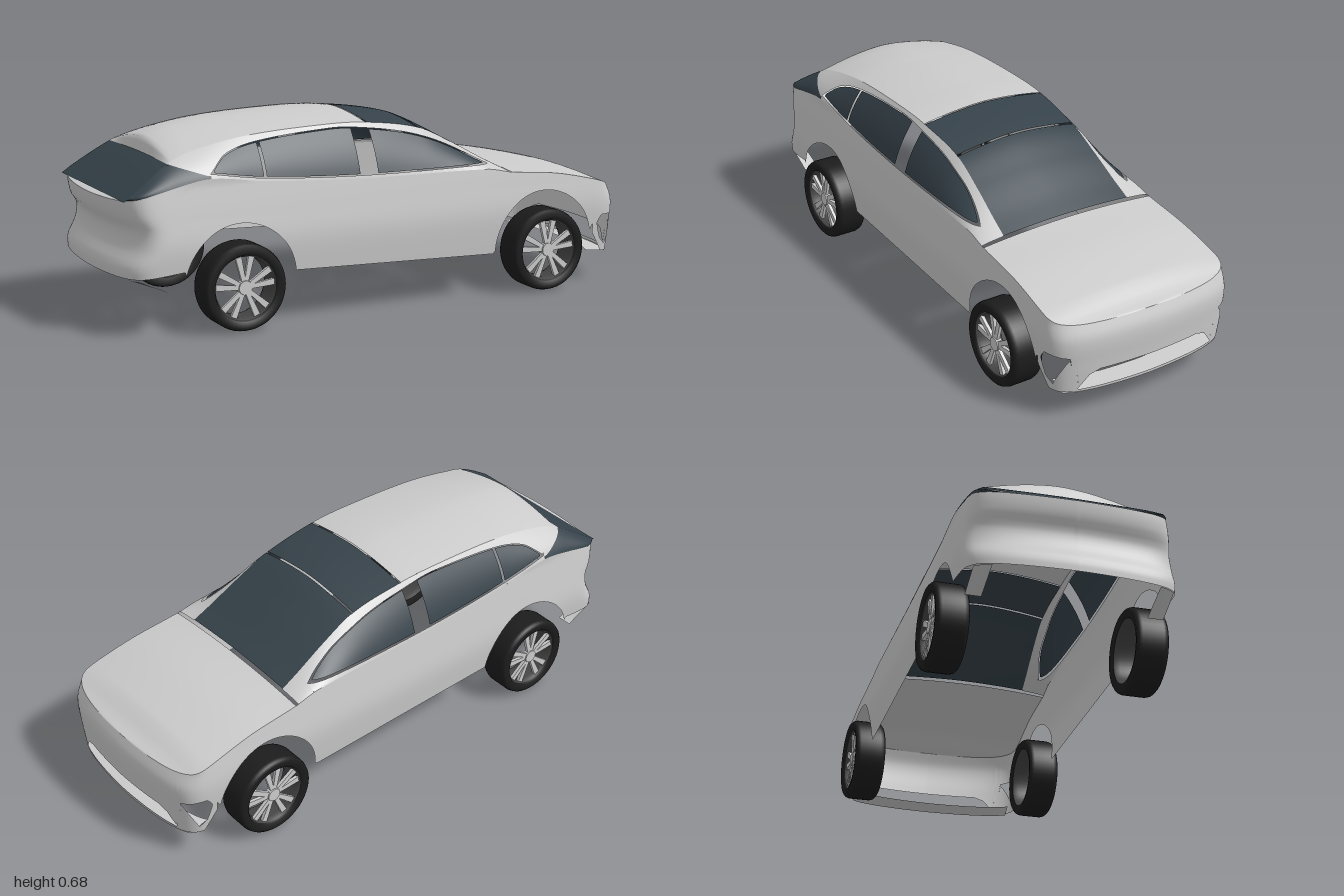
import * as THREE from 'three';

const D = THREE.DoubleSide;
const paint = new THREE.MeshStandardMaterial({ color: 0xcccccc, side: D });
const glassMat = new THREE.MeshStandardMaterial({ color: 0x36424a, side: D });
const rubber = new THREE.MeshStandardMaterial({ color: 0x1c1c1c, side: D });
const dark = new THREE.MeshStandardMaterial({ color: 0x444444, side: D });

// Piecewise curve through [x, value] points: straight, or smooth (Hermite)
function curve(pts, smooth = true) {
  const slope = (i) => {
    const a = pts[Math.max(i - 1, 0)], b = pts[Math.min(i + 1, pts.length - 1)];
    return (b[1] - a[1]) / (b[0] - a[0]);
  };
  return (x) => {
    if (x <= pts[0][0]) return pts[0][1];
    if (x >= pts[pts.length - 1][0]) return pts[pts.length - 1][1];
    let i = 0;
    while (x > pts[i + 1][0]) i++;
    const [x0, y0] = pts[i], [x1, y1] = pts[i + 1], h = x1 - x0, t = (x - x0) / h;
    if (!smooth) return y0 + (y1 - y0) * t;
    const s = t * t * (3 - 2 * t);
    return y0 + (y1 - y0) * s + h * t * (1 - t) * ((1 - t) * slope(i) - t * slope(i + 1));
  };
}
const lerp = THREE.MathUtils.lerp;
const range = (a, b, n) => Array.from({ length: n + 1 }, (_, i) => a + ((b - a) * i) / n);

// Surface over a list of columns and n rows; fn(column, t) gives a point
function grid(cols, n, fn) {
  const pos = [], idx = [];
  cols.forEach((c, i) => {
    for (let j = 0; j <= n; j++) {
      pos.push(...fn(c, j / n));
      if (i && j) {
        const b = i * (n + 1) + j, a = b - n - 1;
        idx.push(a - 1, b - 1, b, a - 1, b, a);
      }
    }
  });
  const g = new THREE.BufferGeometry();
  g.setAttribute('position', new THREE.Float32BufferAttribute(pos, 3));
  g.setIndex(idx);
  g.computeVertexNormals();
  return g;
}

// Plan outline: a rounded rectangle, sampled by z at the ends and by x along the sides
const W = 0.362, P = 36, Q = 1.6, TAIL = 0.99, ARCH = 0.205;
const wheelX = [-0.575, 0.635];
const planZ = (x) => W * Math.pow(Math.max(0, 1 - Math.pow(Math.abs(x) / (x < 0 ? TAIL : 1), P)), 1 / Q);
const planX = (z) => Math.pow(1 - Math.pow(z / W, Q), 1 / P);
const noseCols = range(0.33, 0, 66).map((z) => ({ x: planX(z), z }));
const tailCols = range(0, 0.33, 30).map((z) => ({ x: -planX(z) * TAIL, z }));
const sideX = range(-0.93, 0.94, 187);
wheelX.forEach((c) => range(0, Math.PI, 40).forEach((a) => sideX.push(c + ARCH * Math.cos(a))));
const sideCols = sideX.sort((a, b) => a - b).map((x) => ({ x, z: planZ(x) }));

// Body outline curves
const belt = curve([[-0.99, 0.455], [-0.8, 0.5], [-0.67, 0.52], [-0.47, 0.495], [-0.1, 0.472], [0.4, 0.46],
  [0.5, 0.442], [0.7, 0.42], [0.9, 0.375], [0.97, 0.355], [1, 0.35]]);
const rail = curve([[-0.98, 0.455], [-0.8, 0.57], [-0.7, 0.605], [-0.5, 0.64], [-0.2, 0.655], [-0.04, 0.65],
  [0.17, 0.615], [0.3, 0.555], [0.42, 0.49], [0.49, 0.455]]);
const railZ = curve([[-0.97, 0.3], [-0.9, 0.29], [-0.8, 0.265], [-0.7, 0.25], [-0.04, 0.245], [0.17, 0.24], [0.49, 0.255]]);
const crown = curve([[-0.97, 0], [-0.8, 0.006], [-0.785, 0.045], [-0.7, 0.045], [-0.5, 0.032], [-0.2, 0.026],
  [0.17, 0.026], [0.49, 0.01]], false);
const sill = curve([[-0.99, 0.2], [-0.78, 0.22], [-0.77, 0.19], [-0.37, 0.182], [0.43, 0.15], [0.84, 0.2], [0.9, 0.11], [1, 0.1]], false);
const widthAt = curve([[0.1, 0.955], [0.2, 0.985], [0.3, 1], [0.4, 0.965], [0.5, 0.92]]);
const tailAt = curve([[0.2, 0], [0.24, 0], [0.3, 0.03], [0.36, 0.035], [0.4, 0.012], [0.45, 0]]);
const noseAt = curve([[0.1, -0.012], [0.2, -0.004], [0.3, 0], [0.36, -0.022]]);

function bottom(x) {
  let y = sill(x);
  for (const c of wheelX) {
    const d = ARCH * ARCH - (x - c) ** 2;
    if (d > 0) y = Math.max(y, 0.16 + Math.sqrt(d));
  }
  return y;
}
function skin({ x, z }, y) {
  const r = THREE.MathUtils.smoothstep(-x, 0.75, 0.96), f = THREE.MathUtils.smoothstep(x, 0.85, 0.98);
  return [x + tailAt(y) * r + noseAt(y) * f, y, z * widthAt(y)];
}

// Bumper openings: wide lower grille and a corner intake
const intakeLow = curve([[0.872, 0.22], [0.885, 0.165], [0.92, 0.135], [0.945, 0.19], [0.963, 0.24]], false);
const intakeHigh = curve([[0.872, 0.22], [0.885, 0.25], [0.92, 0.25], [0.945, 0.245], [0.963, 0.24]], false);
const grilleHigh = curve([[0, 0.18], [0.2, 0.18], [0.24, 0.165], [0.285, 0.112]], false);
function hole({ x, z }) {
  if (z < 0.285) return [0.112, grilleHigh(z)];
  if (x < 0.963) return [intakeLow(x), intakeHigh(x)];
  return [0.2, 0.2];
}

// Cabin side between the belt line and the roof rail
function cabin(x, y, inset = 0) {
  const b = belt(x), s = THREE.MathUtils.clamp((y - b) / Math.max(rail(x) - b, 1e-4), 0, 1);
  const zb = skin({ x, z: planZ(x) }, b)[2];
  return [x, y, lerp(zb, railZ(x), s) + 0.012 * s * (1 - s) * 4 - inset];
}
const winLow = curve([[-0.67, 0.535], [-0.47, 0.505], [-0.1, 0.482], [0.42, 0.475]]);
const winHigh = curve([[-0.67, 0.535], [-0.6, 0.59], [-0.47, 0.622], [-0.2, 0.642], [-0.1, 0.639], [0.1, 0.608], [0.25, 0.56], [0.42, 0.475]]);
const quarterTop = (x) => Math.min(rail(x), lerp(0.57, 0.53, THREE.MathUtils.clamp((x + 0.8) / 0.12, 0, 1)));
const wall = (xs, lo, hi, inset) => grid(xs, 8, (x, t) => cabin(x, lerp(lo(x), hi(x), t), inset));

// Crowned panel spanning from rail to rail
const span = (xs) => grid(xs, 32, (x, t) => {
  const s = 1 - 2 * t;
  return [x, rail(x) + crown(x) * (1 - Math.abs(s) ** 1.7), railZ(x) * s];
});
// Crowned panel spanning the top edge of the lower body
const deck = (cols, rise) => grid(cols, 32, (c, t) => {
  const [x, y, z] = skin(c, belt(c.x)), s = 1 - 2 * t;
  return [x, y + rise * Math.min(1, (1 - Math.abs(x)) * 8) * (1 - s * s), z * s];
});

function makeWheel() {
  const wheel = new THREE.Group();
  const add = (name, geo, mat) => {
    const m = new THREE.Mesh(geo, mat);
    m.name = name;
    wheel.add(m);
    return m;
  };
  const ring = (pts) => new THREE.LatheGeometry(pts.map(([r, y]) => new THREE.Vector2(r, y)), 48).rotateX(Math.PI / 2);
  add('tyre', ring([[0.112, -0.05], [0.138, -0.057], [0.146, -0.05], [0.15, -0.038], [0.15, 0.038], [0.146, 0.05],
    [0.138, 0.057], [0.116, 0.054], [0.112, 0.046]]), rubber);
  add('rimBarrel', ring([[0.112, -0.05], [0.104, -0.03], [0.104, 0.03], [0.115, 0.05]]), dark);
  add('hub', new THREE.CylinderGeometry(0.024, 0.028, 0.02, 24).rotateX(Math.PI / 2).translate(0, 0, 0.036), paint);
  // Tapered spokes in pairs
  const s = new THREE.Shape([[-0.007, 0.015], [0.007, 0.015], [0.011, 0.108], [-0.011, 0.108]].map((p) => new THREE.Vector2(...p)));
  const spoke = new THREE.ExtrudeGeometry(s, { depth: 0.012, bevelEnabled: false }).translate(0, 0, 0.03);
  for (let i = 0; i < 5; i++) {
    for (const k of [-1, 1]) add('spoke', spoke, paint).rotation.z = (i / 5) * Math.PI * 2 + k * 0.22;
  }
  return wheel;
}

export function createModel() {
  const model = new THREE.Group();
  const add = (name, geo, mat, parent = model) => {
    const m = new THREE.Mesh(geo, mat);
    m.name = name;
    parent.add(m);
  };

  // Each half of the shell, mirrored across the centre line
  const front = [...sideCols.filter((c) => c.x > 0.845), ...noseCols];
  const isFront = (c) => c.x > 0.845;
  for (const side of [1, -1]) {
    const half = new THREE.Group();
    half.name = side > 0 ? 'leftHalf' : 'rightHalf';
    half.scale.z = side;
    model.add(half);
    add('lowerBody', grid([...tailCols, ...sideCols, ...noseCols], 16, (c, t) =>
      skin(c, lerp(isFront(c) ? hole(c)[1] : bottom(c.x), belt(c.x), t))), paint, half);
    add('lowerBumper', grid(front, 5, (c, t) => skin(c, lerp(bottom(c.x), hole(c)[0], t))), paint, half);
    add('frontLip', grid(noseCols, 2, (c, t) => {
      const [x, y, z] = skin(c, 0.1);
      return [x - 0.08 * t, y + 0.008 * t, z * (1 - 0.04 * t)];
    }), paint, half);
    add('rearFlap', grid(range(0.28, 0.335, 6), 4, (z, t) =>
      [lerp(-planX(z) * TAIL, -0.83, t), lerp(0.2, 0.15, t), z]), paint, half);

    // Window surround, pillars and side glass
    const opening = range(-0.67, 0.42, 90);
    add('windowSill', wall(opening, belt, winLow, 0), paint, half);
    add('roofRail', wall(opening, winHigh, rail, 0), paint, half);
    add('frontPillarBase', wall(range(0.42, 0.49, 6), belt, rail, 0), paint, half);
    add('rearPillar', wall(range(-0.8, -0.67, 14), quarterTop, rail, 0), paint, half);
    add('rearQuarterGlass', wall(range(-0.965, -0.67, 24), belt, quarterTop, 0), glassMat, half);
    for (const [a, b] of [[-0.655, -0.475], [-0.465, -0.11], [-0.04, 0.4]]) {
      add('sideWindow', wall(range(a, b, 24), (x) => winLow(x) + 0.004, (x) => winHigh(x) - 0.004, 0.003), glassMat, half);
    }
  }

  // Top panels
  add('hood', deck([...sideCols.filter((c) => c.x > 0.495), ...noseCols], 0.018), paint);
  add('tailLip', deck([...tailCols, ...sideCols].filter((c) => c.x < -0.955), 0.004), paint);
  add('roof', span([-0.8, -0.795, -0.79, ...range(-0.785, -0.045, 50)]), paint);
  add('roofGlass', span(range(-0.04, 0.165, 14)), glassMat);
  add('windshield', span(range(0.172, 0.488, 24)), glassMat);
  add('rearWindow', span(range(-0.968, -0.8, 14)), glassMat);

  for (const x of wheelX) {
    for (const side of [1, -1]) {
      const w = makeWheel();
      w.name = (x > 0 ? 'front' : 'rear') + (side > 0 ? 'Left' : 'Right') + 'Wheel';
      w.position.set(x, 0.15, side * 0.342);
      w.scale.z = side;
      model.add(w);
    }
  }
  return model;
}
